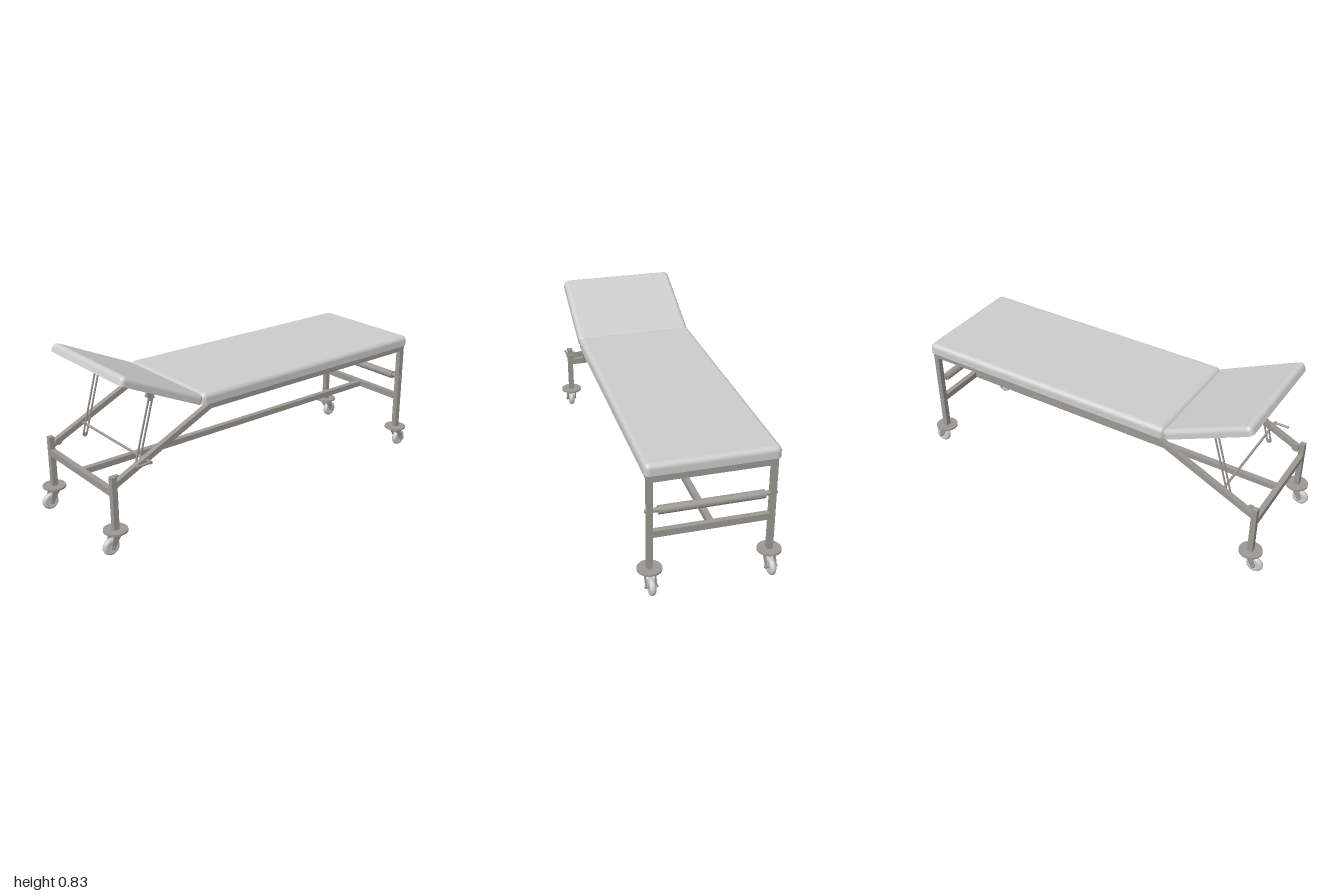
import * as THREE from 'three';
import { RoundedBoxGeometry } from 'three/addons/geometries/RoundedBoxGeometry.js';

const padMat = new THREE.MeshStandardMaterial({ color: 0xcccccc });
const steelMat = new THREE.MeshStandardMaterial({ color: 0x9c9792 });
const boardMat = new THREE.MeshStandardMaterial({ color: 0xcfcfa8 });
const TUBE = 0.027, SIDE_Z = 0.28, HEAD_X = -0.93, FOOT_X = 0.925;

function add(parent, name, geometry, material, x = 0, y = 0, z = 0) {
  const mesh = new THREE.Mesh(geometry, material);
  mesh.name = name;
  mesh.position.set(x, y, z);
  parent.add(mesh);
  return mesh;
}

function box(parent, name, w, h, d, x, y, z, material = steelMat) {
  return add(parent, name, new THREE.BoxGeometry(w, h, d), material, x, y, z);
}

// Round bar lying along z
function barZ(parent, name, r, length, x, y, z, material = steelMat) {
  const g = new THREE.CylinderGeometry(r, r, length, 24).rotateX(Math.PI / 2);
  return add(parent, name, g, material, x, y, z);
}

// Square tube between two points of a side plane
function beam(parent, name, a, b, z) {
  const dx = b[0] - a[0], dy = b[1] - a[1];
  const m = box(parent, name, Math.hypot(dx, dy), TUBE, TUBE, (a[0] + b[0]) / 2, (a[1] + b[1]) / 2, z);
  m.rotation.z = Math.atan2(dy, dx);
}

// Pad with rounded top and flat underside at y = 0
function padGeometry(w, h, d, r) {
  const g = new RoundedBoxGeometry(w, h * 2, d, 5, r);
  const p = g.attributes.position, n = g.attributes.normal;
  for (let i = 0; i < p.count; i++) {
    if (p.getY(i) >= 0) continue;
    p.setY(i, 0);
    if (n.getY(i) < -0.01) n.setXYZ(i, 0, -1, 0);
  }
  return g;
}

// Flat bar with round ends and a long slot, lower end at the origin
function strutGeometry(length) {
  const pill = (path, r, y0, y1) => {
    path.moveTo(r, y0);
    path.lineTo(r, y1);
    path.absarc(0, y1, r, 0, Math.PI, false);
    path.lineTo(-r, y0);
    path.absarc(0, y0, r, Math.PI, Math.PI * 2, false);
    return path;
  };
  const shape = pill(new THREE.Shape(), 0.013, 0, length);
  shape.holes.push(pill(new THREE.Path(), 0.006, 0.012, length - 0.03));
  return new THREE.ExtrudeGeometry(shape, { depth: 0.006, bevelEnabled: false, curveSegments: 8 }).translate(0, 0, -0.003);
}

// Swivel caster, trailing towards dir along x
function caster(parent, name, x, z, dir) {
  const g = new THREE.Group();
  g.name = name;
  g.position.set(x, 0, z);
  parent.add(g);
  const off = dir * 0.958 - x, axleY = 0.042;
  add(g, 'bumperDisc', new THREE.CylinderGeometry(0.057, 0.057, 0.009, 32), steelMat, 0, 0.117, 0);
  add(g, 'swivel', new THREE.CylinderGeometry(0.02, 0.023, 0.016, 20), steelMat, 0, 0.105, 0);
  box(g, 'forkCrown', 0.04, 0.008, 0.052, dir * 0.004, 0.095, 0);
  const arm = new THREE.Shape();
  arm.moveTo(-dir * 0.016, 0.099);
  arm.lineTo(dir * 0.024, 0.099);
  arm.lineTo(off + dir * 0.011, axleY);
  arm.lineTo(off, axleY - 0.011);
  arm.lineTo(off - dir * 0.011, axleY);
  arm.closePath();
  for (const s of [-1, 1]) {
    const geo = new THREE.ExtrudeGeometry(arm, { depth: 0.004, bevelEnabled: false });
    add(g, 'forkArm', geo.translate(0, 0, -0.002), steelMat, 0, 0, s * 0.023);
  }
  barZ(g, 'axle', 0.007, 0.06, off, axleY, 0);
  const tyre = [[0, -0.012], [0.022, -0.012], [0.025, -0.0145], [0.034, -0.0135], [0.04, -0.008], [0.042, 0],
    [0.04, 0.008], [0.034, 0.0135], [0.025, 0.0145], [0.022, 0.012], [0, 0.012]];
  const wheel = new THREE.LatheGeometry(tyre.map(([a, b]) => new THREE.Vector2(a, b)), 32).rotateX(Math.PI / 2);
  add(g, 'wheel', wheel, padMat, off, axleY, 0);
}

export function createModel() {
  const root = new THREE.Group();
  root.name = 'examinationCouch';

  // Main mattress with its base board
  add(root, 'mattress', padGeometry(1.4, 0.055, 0.612, 0.026), padMat, 0.25, 0.6, 0);
  box(root, 'mattressBoard', 1.32, 0.008, 0.52, 0.25, 0.598, 0, padMat);

  // Tilted backrest
  const back = new THREE.Group();
  back.name = 'backrest';
  back.position.set(-0.455, 0.602, 0);
  back.rotation.z = -0.43;
  root.add(back);
  add(back, 'backrestPad', padGeometry(0.475, 0.046, 0.612, 0.024), padMat, -0.2375, 0, 0);
  box(back, 'backrestBoard', 0.4, 0.008, 0.52, -0.235, -0.002, 0, boardMat);

  // Frame and supports, mirrored to both sides
  for (const s of [-1, 1]) {
    const z = s * SIDE_Z;
    box(root, 'footLeg', TUBE, 0.48, TUBE, FOOT_X, 0.36, z);
    box(root, 'headLeg', TUBE, 0.26, TUBE, HEAD_X, 0.25, z);
    beam(root, 'topRail', [-0.405, 0.583], [FOOT_X, 0.583], z);
    beam(root, 'slopingRail', [HEAD_X, 0.335], [-0.395, 0.583], z);
    caster(root, 'footCaster', FOOT_X, z, 1);
    caster(root, 'headCaster', HEAD_X, z, -1);

    const strut = add(root, 'slottedStrut', strutGeometry(0.33), steelMat, -0.77, 0.367, s * 0.229);
    strut.rotation.z = -Math.atan2(0.09, 0.32);
    box(back, 'strutBracket', 0.04, 0.03, 0.012, -0.255, -0.015, s * 0.238);
    barZ(root, 'strutPivot', 0.007, 0.03, -0.681, 0.683, s * 0.233);
    barZ(root, 'lockBolt', 0.018, 0.014, -0.9, 0.355, s * 0.261);
    box(root, 'hingePlate', 0.06, 0.006, 0.05, -0.42, 0.596, s * 0.2);
    barZ(root, 'hingePin', 0.007, 0.06, -0.453, 0.597, s * 0.2);

    barZ(root, 'rollSpindle', 0.011, 0.05, FOOT_X, 0.417, s * 0.258);
    barZ(root, 'rollEndCap', 0.008, 0.008, FOOT_X, 0.417, s * 0.297);
  }

  // Cross members and central lower rail
  const span = SIDE_Z * 2 - TUBE;
  box(root, 'footTopCrossbar', TUBE, 0.034, span, FOOT_X, 0.58, 0);
  box(root, 'footLowerCrossbar', TUBE, 0.032, span, FOOT_X, 0.3, 0);
  box(root, 'headLowerCrossbar', TUBE, 0.032, span, HEAD_X, 0.3, 0);
  box(root, 'centralRail', FOOT_X - HEAD_X - TUBE, 0.028, 0.028, (FOOT_X + HEAD_X) / 2, 0.3, 0);

  // Paper roll holder
  barZ(root, 'paperRoll', 0.02, 0.484, FOOT_X, 0.415, 0);

  // Locking rod with crank handle
  barZ(root, 'lockingRod', 0.006, 0.61, -0.757, 0.413, 0.015);
  const grip = new THREE.CylinderGeometry(0.006, 0.006, 0.075, 16).rotateZ(Math.PI / 2);
  add(root, 'crankHandle', grip, steelMat, -0.793, 0.413, 0.322);
  box(root, 'crankJoint', 0.012, 0.012, 0.022, -0.757, 0.413, 0.317);

  return root;
}
